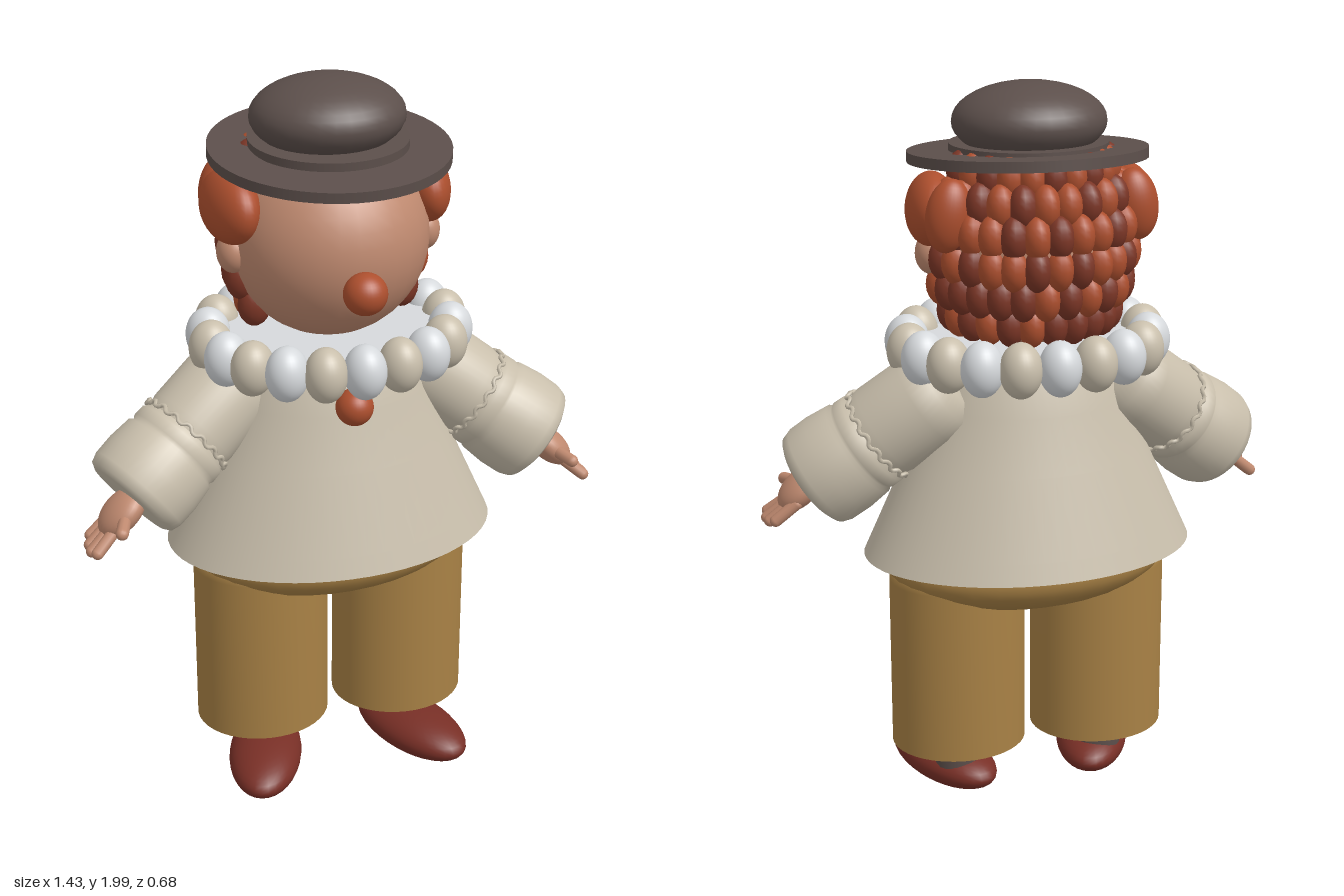
import * as THREE from 'three';

const mat = (name, color) => Object.assign(new THREE.MeshStandardMaterial({ color }), { name });
const M = {
  skin: mat('skin', 0xc08a70),
  orange: mat('orange red', 0xad4f2e),
  darkRed: mat('dark red', 0x7c3626),
  shoe: mat('shoe leather', 0x782f26),
  felt: mat('dark felt', 0x5c4f4b),
  cloth: mat('cream cloth', 0xc9bfac),
  white: mat('white', 0xd6d9dc),
  pants: mat('ochre', 0xa88145),
};
const V = (x, y, z) => new THREE.Vector3(x, y, z);
const UP = V(0, 1, 0);
const BALL = new THREE.SphereGeometry(1, 32, 20);
const LUMP = new THREE.SphereGeometry(1, 14, 10);

function add(parent, name, geo, material, pos = [0, 0, 0], scale = [1, 1, 1], rot = [0, 0, 0]) {
  const m = new THREE.Mesh(geo, material);
  m.name = name;
  m.position.set(...pos);
  m.scale.set(...scale);
  m.rotation.set(...rot);
  parent.add(m);
  return m;
}
const lathe = (pts, n = 40) =>
  new THREE.LatheGeometry(pts.map(([r, y]) => new THREE.Vector2(r, y)), n);

// Capsule running from point a to point b
function capsule(parent, name, a, b, r, material) {
  const m = add(parent, name, new THREE.CapsuleGeometry(r, a.distanceTo(b), 6, 12), material);
  m.position.copy(a).lerp(b, 0.5);
  m.quaternion.setFromUnitVectors(UP, b.clone().sub(a).normalize());
}

function buildHead() {
  const g = new THREE.Group();
  g.name = 'head';
  add(g, 'face', BALL, M.skin, [0, 1.58, -0.015], [0.265, 0.265, 0.265]);
  add(g, 'nose', BALL, M.orange, [0, 1.52, 0.275], [0.057, 0.055, 0.055]);
  for (const s of [1, -1]) {
    add(g, 'ear', BALL, M.skin, [s * 0.262, 1.565, 0.0], [0.042, 0.055, 0.048]);
    add(g, 'sideTuft', BALL, M.orange, [s * 0.265, 1.685, -0.01], [0.065, 0.095, 0.125], [0, s * -0.15, s * 0.1]);
    add(g, 'rearTuft', BALL, M.orange, [s * 0.25, 1.69, -0.135], [0.06, 0.095, 0.05], [0, 0, s * 0.15]);
  }
  // Rows of curls around the back of the head: height, ring radius, half sweep, count
  const rows = [
    [1.41, 0.205, 1.62, 13], [1.485, 0.235, 1.58, 14], [1.565, 0.25, 1.35, 13],
    [1.645, 0.25, 1.35, 13], [1.72, 0.23, 1.35, 12], [1.785, 0.195, 1.35, 11],
  ];
  rows.forEach(([y, r, sweep, n], row) => {
    for (let i = 0; i < n; i++) {
      const a = -sweep + (2 * sweep * i) / (n - 1);
      const dark = (i * 2 + row * 3) % 5 < 2 || (row < 2 && i % 2 === 0);
      add(g, 'curl', LUMP, dark ? M.darkRed : M.orange,
        [Math.sin(a) * r, y, -0.015 - Math.cos(a) * r], [0.038, 0.058, 0.045], [0, Math.PI - a, 0]);
    }
  });
  return g;
}

function buildHat() {
  const g = new THREE.Group();
  g.name = 'hat';
  g.position.set(0, 1.812, 0);
  const tilt = [0.075, 0, 0];
  add(g, 'brim', new THREE.CylinderGeometry(0.314, 0.314, 0.028, 56), M.felt, [0, 0, 0], [1, 1, 1], tilt);
  add(g, 'hatBand', new THREE.CylinderGeometry(0.208, 0.208, 0.022, 48), M.felt, [0, 0.022, -0.01], [1, 1, 1], [0.03, 0, 0]);
  add(g, 'crown', BALL, M.felt, [0, 0.088, -0.015], [0.203, 0.1, 0.186]);
  return g;
}

function buildArm() {
  const arm = new THREE.Group();
  arm.name = 'arm';
  const start = V(0.25, 1.2, -0.03), end = V(0.58, 0.945, 0.08);
  const len = start.distanceTo(end);
  const sleeve = new THREE.Group();
  sleeve.name = 'sleeve';
  sleeve.position.copy(start);
  sleeve.quaternion.setFromUnitVectors(UP, end.clone().sub(start).normalize());
  arm.add(sleeve);
  add(sleeve, 'upperSleeve', lathe([[0, -0.06], [0.08, -0.045], [0.12, -0.01], [0.13, 0.05],
    [0.13, 0.18], [0.12, 0.225]]), M.cloth);
  add(sleeve, 'cuff', lathe([[0.115, 0.2], [0.135, 0.225], [0.136, 0.255], [0.13, 0.265], [0.14, 0.275],
    [0.147, 0.34], [0.146, len - 0.035], [0.138, len - 0.01], [0.12, len], [0, len]]), M.cloth);
  // Scalloped seam around the sleeve
  const seam = [];
  for (let i = 0; i < 72; i++) {
    const a = (i / 72) * Math.PI * 2, w = i % 4 < 2 ? 1 : -1;
    seam.push(V(Math.cos(a) * 0.132, 0.205 + w * 0.005, Math.sin(a) * 0.132));
  }
  add(sleeve, 'seamFrill', new THREE.TubeGeometry(new THREE.CatmullRomCurve3(seam, true), 144, 0.006, 5, true), M.cloth);

  // Hand with four fingers and a thumb
  const hand = new THREE.Group();
  hand.name = 'hand';
  arm.add(hand);
  add(hand, 'palm', BALL, M.skin, [0.607, 0.922, 0.1], [0.078, 0.042, 0.066], [0, 0, -0.75]);
  [0.055, 0.088, 0.121, 0.152].forEach((z, i) => {
    const reach = [0, 0.01, 0.012, 0.004][i];
    capsule(hand, 'finger', V(0.63, 0.893, 0.09 + (z - 0.1) * 0.8),
      V(0.685 + reach, 0.848 - reach, z + 0.008), 0.0165, M.skin);
  });
  capsule(hand, 'thumb', V(0.605, 0.925, 0.135), V(0.632, 0.915, 0.205), 0.017, M.skin);
  return arm;
}

function buildLeg() {
  const g = new THREE.Group();
  g.name = 'leg';
  add(g, 'trouserLeg', lathe([[0, 0.165], [0.172, 0.165], [0.172, 0.165], [0.187, 0.172], [0.187, 0.172],
    [0.187, 0.66], [0.18, 0.69], [0.15, 0.71], [0, 0.715]]), M.pants, [0.202, 0, 0.002], [1, 1, 0.895]);
  add(g, 'ankle', new THREE.CylinderGeometry(0.07, 0.07, 0.12, 24), M.felt, [0.205, 0.14, 0.003]);
  add(g, 'shoe', BALL, M.shoe, [0.222, 0.07, 0.085], [0.102, 0.063, 0.207], [0, 0.36, 0]);
  return g;
}

export function createModel() {
  const root = new THREE.Group();
  root.name = 'clownFigure';
  root.add(buildHead(), buildHat());

  // Flared smock, oval in plan
  add(root, 'smock', lathe([[0, 0.738], [0.43, 0.738], [0.43, 0.738], [0.455, 0.735], [0.455, 0.735],
    [0.43, 0.79], [0.335, 1.0], [0.27, 1.15], [0.235, 1.25], [0.2, 1.285], [0, 1.29]], 56),
  M.cloth, [0, 0, 0], [1, 1, 0.715]);
  add(root, 'button', BALL, M.orange, [0, 1.175, 0.2], [0.05, 0.05, 0.05]);
  add(root, 'hips', BALL, M.pants, [0, 0.7, 0], [0.392, 0.133, 0.246]);

  // Ruff of alternating beads over a collar disc
  const ruff = new THREE.Group();
  ruff.name = 'ruff';
  root.add(ruff);
  add(ruff, 'collar', new THREE.CylinderGeometry(0.31, 0.31, 0.04, 40), M.white, [0, 1.305, 0], [1, 1, 0.87]);
  for (let i = 0; i < 20; i++) {
    const a = (i / 20) * Math.PI * 2;
    add(ruff, 'ruffBead', BALL, i % 2 ? M.cloth : M.white,
      [Math.sin(a) * 0.325, 1.308, Math.cos(a) * 0.278], [0.056, 0.074, 0.06], [0, a, 0]);
  }

  // Left limbs and their mirror images
  for (const s of [1, -1]) {
    const side = new THREE.Group();
    side.name = s > 0 ? 'leftLimbs' : 'rightLimbs';
    side.scale.x = s;
    side.add(buildArm(), buildLeg());
    root.add(side);
  }
  return root;
}
